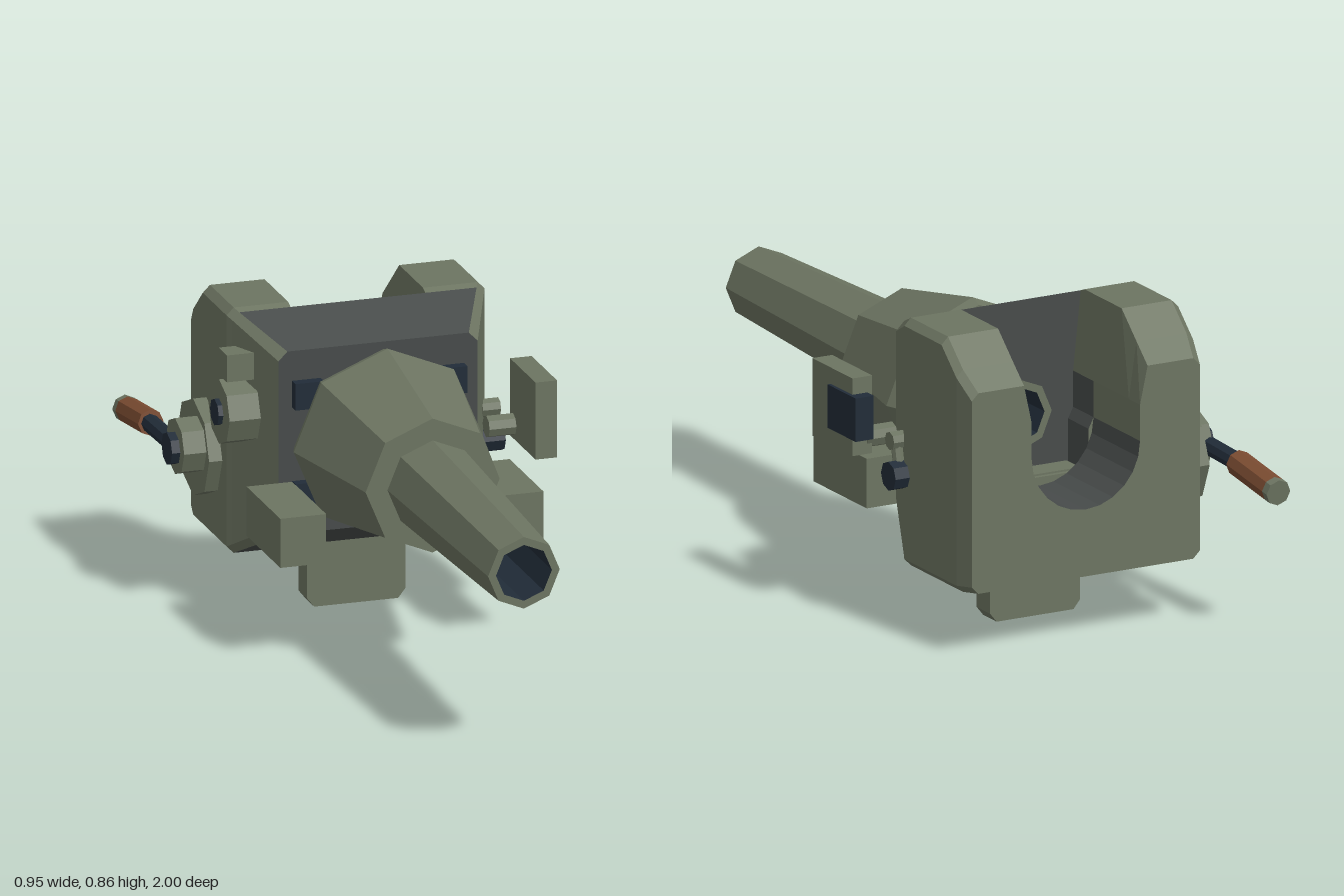
import * as THREE from 'three';

const CX = 0.012, CY = 0.53; // bore axis
const mat = (name, color) => {
  const m = new THREE.MeshStandardMaterial({ color, flatShading: true });
  m.name = name;
  return m;
};

// Joins equal-length cross-sections along z; edgeMat gives the material index of each edge
function loft(sections, zs, edgeMat, rearMat, frontMat) {
  const pos = [], geo = new THREE.BufferGeometry();
  const ccw = THREE.ShapeUtils.area(sections[0]) > 0;
  const n = sections[0].length;
  const tri = (a, b, c, m) => {
    geo.addGroup(pos.length / 3, 3, m);
    for (const p of [a, b, c]) pos.push(...p);
  };
  for (let k = 0; k < zs.length - 1; k++) {
    for (let i = 0; i < n; i++) {
      const j = (i + 1) % n;
      const at = (s, q) => [sections[s][q].x, sections[s][q].y, zs[s]];
      const [p, q] = ccw ? [i, j] : [j, i];
      tri(at(k, p), at(k, q), at(k + 1, q), edgeMat(i));
      tri(at(k, p), at(k + 1, q), at(k + 1, p), edgeMat(i));
    }
  }
  for (const [s, sign, m] of [[0, -1, rearMat], [zs.length - 1, 1, frontMat]]) {
    const pts = sections[s];
    for (const f of THREE.ShapeUtils.triangulateShape(pts, [])) {
      const t = f.map(i => pts[i]);
      if (THREE.ShapeUtils.area(t) * sign < 0) t.reverse();
      tri(...t.map(p => [p.x, p.y, zs[s]]), m);
    }
  }
  geo.setAttribute('position', new THREE.Float32BufferAttribute(pos, 3));
  geo.computeVertexNormals();
  return geo;
}

export function createModel() {
  const root = new THREE.Group();
  root.name = 'cannon';
  const green = mat('olive green', 0x6c7461);
  const grey = mat('dark grey', 0x474b4a);
  const navy = mat('blue black', 0x212c38);
  const brown = mat('wood brown', 0x7a4b31);

  const add = (name, geo, material) => {
    const m = new THREE.Mesh(geo, material);
    m.name = name;
    root.add(m);
    return m;
  };
  // Box given by its limits
  const box = (name, material, x0, x1, y0, y1, z0, z1) => {
    const m = add(name, new THREE.BoxGeometry(x1 - x0, y1 - y0, z1 - z0), material);
    m.position.set((x0 + x1) / 2, (y0 + y1) / 2, (z0 + z1) / 2);
  };
  // Eight-sided disc with its axis along x
  const disc = (name, material, x0, x1, y, z, r) => {
    const g = new THREE.CylinderGeometry(r, r, x1 - x0, 8).rotateZ(Math.PI / 2);
    add(name, g, material).position.set((x0 + x1) / 2, y, z);
  };
  // Eight-sided rod between two points
  const rod = (name, material, a, b, r) => {
    const A = new THREE.Vector3(...a), B = new THREE.Vector3(...b), d = B.clone().sub(A);
    const m = add(name, new THREE.CylinderGeometry(r, r, d.length(), 8), material);
    m.position.copy(A).add(B).multiplyScalar(0.5);
    m.quaternion.setFromUnitVectors(new THREE.Vector3(0, 1, 0), d.normalize());
  };
  const turned = (name, material, points) => {
    const g = new THREE.LatheGeometry(points.map(p => new THREE.Vector2(...p)), 8).rotateX(Math.PI / 2);
    add(name, g, material).position.set(CX, CY, 0);
  };

  // Barrel with its sleeve, neck and bore
  turned('barrel', green, [[0.078, -0.4], [0.1, -0.4], [0.1, -0.24], [0.15, -0.24], [0.15, -0.185],
    [0.25, -0.185], [0.262, -0.15], [0.187, 0.23], [0.126, 0.23], [0.1, 1], [0.078, 1]]);
  turned('bore', navy, [[0.078, 1], [0.078, -0.4]]);

  // Breech housing, built as mirrored halves
  const outer = (W, T, B, c, top, bottom) =>
    [[top, T], [W - c, T], [W, T - c], [W, B + c], [W - c, B], [bottom, B]];
  const arc = [];
  for (let i = 0; i <= 6; i++) {
    const a = -Math.PI / 2 + i * Math.PI / 12;
    arc.push([0.165 * Math.cos(a), CY + 0.165 * Math.sin(a)]);
  }
  const trough = (W, T, B) => [...outer(W, T, B, 0.02, 0.188, 0), ...arc, [0.165, 0.63]];
  const slot = (W, T, B) => [...outer(W, T, B, 0.02, 0.188, 0.15), [0.15, 0.5], [0.165, 0.53], [0.165, 0.63]];
  const hole = [];
  for (let i = 0; i <= 4; i++) {
    const a = -Math.PI / 2 + i * Math.PI / 4;
    hole.push([0.1 * Math.cos(a), CY + 0.1 * Math.sin(a)]);
  }
  const plate = (W, T, B, c) => [...outer(W, T, B, c, 0, 0), ...hole];
  for (const s of [1, -1]) {
    const side = s > 0 ? 'left' : 'right';
    const half = (name, secs, zs, edge, rear, front) => add(side + name,
      loft(secs.map(c => c.map(([x, y]) => new THREE.Vector2(CX + s * x, y))), zs, edge, rear, front),
      [green, grey]);
    half('HousingRear',
      [trough(0.347, 0.735, 0.18), trough(0.36, 0.787, 0.172), trough(0.36, 0.857, 0.172), trough(0.36, 0.857, 0.172)],
      [-0.76, -0.70, -0.62, -0.51], i => (i >= 4 && i < 12 ? 1 : 0), 0, 0);
    half('HousingSlotWall',
      [slot(0.36, 0.857, 0.172), slot(0.36, 0.857, 0.172), slot(0.351, 0.849, 0.183)],
      [-0.51, -0.42, -0.40], i => (i >= 4 && i < 8 ? 1 : 0), 0, 0);
    half('HousingFront',
      [plate(0.351, 0.849, 0.183, 0.02), plate(0.278, 0.785, 0.275, 0.025)],
      [-0.40, -0.23], i => (i === 0 || i >= 4 ? 1 : 0), 1, 1);

    // Recoil blocks and front bolts
    box(side + 'RecoilBlock', green, CX + s * 0.303 - 0.064, CX + s * 0.303 + 0.064, 0.283, 0.42, -0.23, 0.055);
    for (const y of [0.385, 0.665])
      box(side + 'Bolt', navy, CX + s * 0.2 - 0.04, CX + s * 0.2 + 0.04, y - 0.037, y + 0.037, -0.235, -0.2);
  }

  // Lowered breech block with chamfered foot and rear rib
  const foot = new THREE.Shape([[-0.137, 0.39], [-0.137, 0.025], [-0.117, 0], [0.117, 0], [0.137, 0.025], [0.137, 0.39]]
    .map(p => new THREE.Vector2(...p)));
  add('breechBlock', new THREE.ExtrudeGeometry(foot, { depth: 0.072, bevelEnabled: false }), green)
    .position.set(CX, 0, -0.487);
  box('breechBlockRib', green, CX - 0.1, CX + 0.1, 0.19, 0.385, -0.5, -0.48);

  // Sight on the left with its lever and knob
  box('sightBody', green, 0.405, 0.465, 0.46, 0.675, -0.305, -0.09);
  box('sightEyepiece', navy, 0.42, 0.475, 0.51, 0.63, -0.34, -0.19);
  rod('sightBracket', green, [0.33, 0.5, -0.28], [0.42, 0.5, -0.28], 0.03);
  disc('leverPin', green, 0.35, 0.4, 0.515, -0.39, 0.025);
  rod('lever', green, [0.38, 0.515, -0.39], [0.38, 0.425, -0.41], 0.016);
  disc('leverKnob', navy, 0.35, 0.415, 0.425, -0.41, 0.04);

  // Elevating gear, hub and crank on the right
  disc('gearPlate', green, -0.385, -0.33, 0.42, -0.59, 0.135);
  disc('gearHub', green, -0.447, -0.38, 0.44, -0.555, 0.078);
  disc('hubCap', navy, -0.47, -0.44, 0.435, -0.555, 0.045);
  rod('crankArm', navy, [-0.442, 0.44, -0.53], [-0.442, 0.432, -0.8], 0.025);
  rod('crankHandle', brown, [-0.44, 0.433, -0.78], [-0.44, 0.409, -0.972], 0.036);
  rod('crankHandleEnd', green, [-0.44, 0.409, -0.972], [-0.44, 0.406, -0.997], 0.036);

  // Small training wheel with the box above it
  disc('smallWheel', green, -0.387, -0.3, 0.59, -0.365, 0.09);
  disc('smallWheelKnob', navy, -0.4, -0.38, 0.59, -0.365, 0.037);
  box('smallBox', green, -0.38, -0.3, 0.685, 0.76, -0.39, -0.32);

  return root;
}
